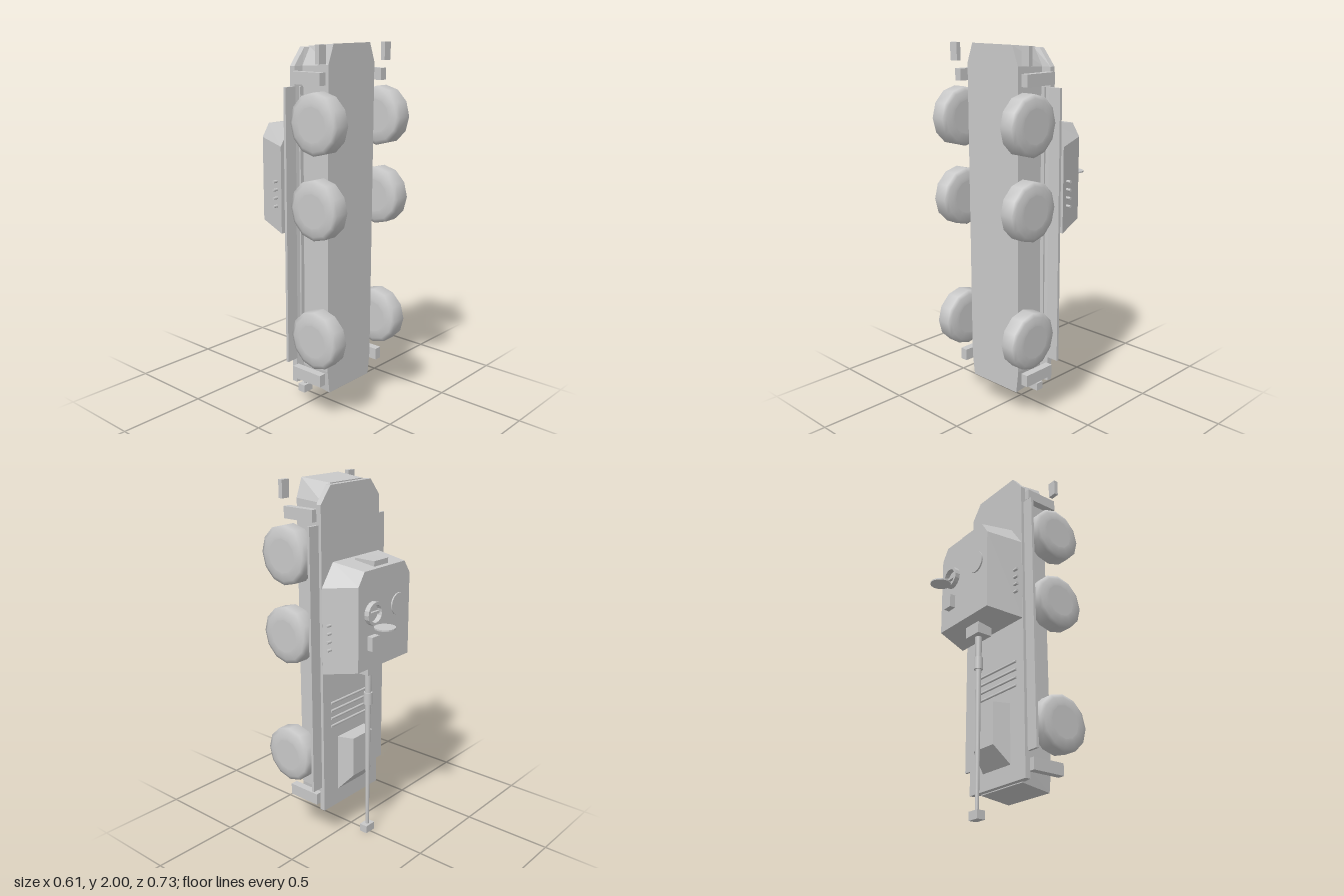
import * as THREE from 'three';

const grey = new THREE.MeshStandardMaterial({ color: 0xc8c8c8 });
grey.name = 'plain grey';

// Straight-sided solid between two convex outlines; each outline lists its +x half, top to bottom
function loft(halfA, zA, halfB, zB) {
  const ring = (half, z) => [
    ...half.map(([x, y]) => [-x, y, z]),
    ...[...half].reverse().map(([x, y]) => [x, y, z]),
  ];
  const a = ring(halfA, zA), b = ring(halfB, zB), n = a.length, pos = [];
  const tri = (...pts) => pts.forEach((p) => pos.push(...p));
  for (let i = 0; i < n; i++) {
    const j = (i + 1) % n;
    tri(a[i], a[j], b[j]);
    tri(a[i], b[j], b[i]);
    if (i > 0 && i < n - 1) {
      tri(b[0], b[i], b[i + 1]);
      tri(a[0], a[i + 1], a[i]);
    }
  }
  const g = new THREE.BufferGeometry();
  g.setAttribute('position', new THREE.Float32BufferAttribute(pos, 3));
  g.computeVertexNormals();
  return g;
}

export function createModel() {
  const root = new THREE.Group();
  root.name = 'armouredVehicle';

  const add = (name, geo, x = 0, y = 0, z = 0) => {
    const m = new THREE.Mesh(geo, grey);
    m.name = name;
    m.position.set(x, y, z);
    root.add(m);
    return m;
  };
  // Box given by its limits on each axis
  const box = (name, [x0, x1], [y0, y1], [z0, z1]) =>
    add(name, new THREE.BoxGeometry(x1 - x0, y1 - y0, z1 - z0), (x0 + x1) / 2, (y0 + y1) / 2, (z0 + z1) / 2);
  // Cylinder lying along z between two depths
  const discZ = (name, r, x, y, z0, z1, sides) =>
    add(name, new THREE.CylinderGeometry(r, r, z1 - z0, sides).rotateX(Math.PI / 2), x, y, (z0 + z1) / 2);

  // Hull and the deck slab above it
  add('hull', loft(
    [[0.125, 1.985], [0.183, 1.89], [0.183, 0.28], [0.17, 0.18]], 0.03,
    [[0.142, 2.0], [0.18, 1.9], [0.18, 0.28], [0.165, 0.155]], 0.21));
  add('deck', loft(
    [[0.157, 1.98], [0.23, 1.89], [0.23, 0.185]], 0,
    [[0.157, 1.98], [0.23, 1.89], [0.23, 0.185]], 0.03));
  add('deckUnderside', loft(
    [[0.157, 1.98], [0.23, 1.89], [0.23, 0.185]], 0.03,
    [[0.125, 1.98], [0.183, 1.89], [0.183, 0.185]], 0.04));

  // Barrel-shaped tyre with flat faces
  const tyre = new THREE.LatheGeometry([
    [0, -0.055], [0.09, -0.055], [0.09, -0.055], [0.108, -0.054], [0.135, -0.047], [0.156, -0.038],
    [0.156, 0.038], [0.135, 0.047], [0.108, 0.054], [0.09, 0.055], [0.09, 0.055], [0, 0.055],
  ].map(([r, h]) => new THREE.Vector2(r, h)), 12).rotateZ(-Math.PI / 2);

  for (const s of [1, -1]) {
    const span = (a, b) => (s > 0 ? [a, b] : [-b, -a]);
    for (const y of [1.62, 1.19, 0.493]) add('wheel', tyre, s * 0.248, y, 0.208);
    box('sideRail', span(0.225, 0.297), [0.325, 1.79], [0.017, 0.032]);
    box('innerRail', span(0.18, 0.205), [0.325, 1.79], [0.03, 0.045]);
    box('upperBracket', span(0.218, 0.26), [1.805, 1.867], [0.03, 0.225]);
    box('lowerBracket', span(0.218, 0.26), [0.225, 0.29], [0.03, 0.225]);
    box('endLamp', span(0.23, 0.28), [1.907, 2.0], [0.213, 0.238]);

    // Row of pins on the turret flank
    for (const y of [1.298, 1.254, 1.21, 1.166]) {
      add('turretPin', new THREE.CylinderGeometry(0.008, 0.008, 0.05, 8).rotateZ(Math.PI / 2), s * 0.258, y, -0.078);
    }
  }

  // Turret on its ring
  discZ('turretRingBase', 0.17, 0, 1.255, -0.01, 0.002, 32);
  discZ('turretRing', 0.186, 0, 1.255, -0.037, -0.008, 32);
  add('turret', loft(
    [[0.163, 1.58], [0.21, 1.51], [0.21, 1.06]], -0.225,
    [[0.183, 1.605], [0.268, 1.485], [0.268, 1.025]], -0.035));
  box('turretEndHatch', [-0.057, 0.057], [1.58, 1.611], [-0.2, -0.075]);

  // Roof hatch, open cupola with raised lid, and sight
  discZ('roofHatch', 0.06, -0.113, 1.36, -0.233, -0.22, 20);
  add('cupola', new THREE.LatheGeometry([
    [0.046, 0], [0.062, 0], [0.062, 0.03], [0.046, 0.03], [0.046, 0],
  ].map(([r, h]) => new THREE.Vector2(r, h)), 16).toNonIndexed().rotateX(-Math.PI / 2), 0.102, 1.357, -0.223)
    .geometry.computeVertexNormals();
  box('cupolaCrossbar', [0.06, 0.144], [1.35, 1.364], [-0.24, -0.22]);
  add('cupolaLid', new THREE.CylinderGeometry(0.056, 0.056, 0.008, 20), 0.102, 1.296, -0.309);
  box('roofSight', [0.08, 0.138], [1.165, 1.24], [-0.258, -0.22]);

  // Gun pointing down along y
  box('mantlet', [-0.055, 0.055], [0.985, 1.06], [-0.165, -0.077]);
  const gun = (name, rTop, rBottom, y0, y1) =>
    add(name, new THREE.CylinderGeometry(rTop, rBottom, y1 - y0, 16), 0, (y0 + y1) / 2, -0.121);
  gun('barrelRoot', 0.019, 0.017, 0.86, 0.99);
  gun('barrelSleeve', 0.024, 0.024, 0.797, 0.866);
  gun('barrel', 0.016, 0.01, 0.04, 0.8);
  box('muzzleBrake', [-0.035, 0.035], [0.003, 0.048], [-0.145, -0.097]);

  // Engine-deck bars
  for (const y of [0.82, 0.775, 0.73, 0.685]) {
    add('deckBar', new THREE.CylinderGeometry(0.007, 0.007, 0.34, 8).rotateZ(Math.PI / 2), 0, y, -0.002);
  }

  // Sloped driver housing
  add('driverHousing', loft(
    [[0.082, 0.603], [0.082, 0.375]], -0.085,
    [[0.115, 0.603], [0.115, 0.275]], 0.002));

  return root;
}
